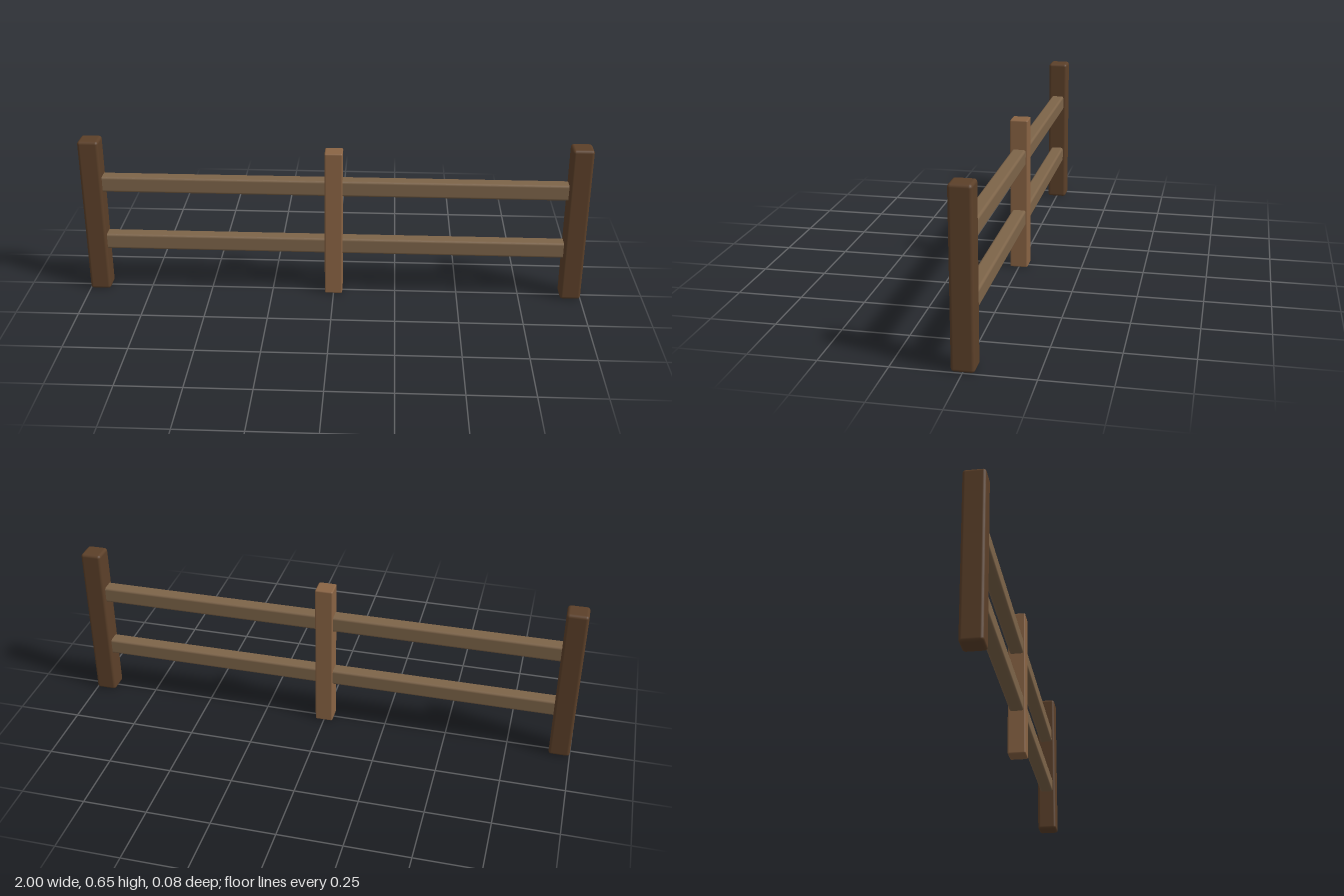
import * as THREE from 'three';
import { RoundedBoxGeometry } from 'three/addons/geometries/RoundedBoxGeometry.js';

export function createModel() {
  const fence = new THREE.Group();
  fence.name = 'railFence';

  const darkWood = new THREE.MeshStandardMaterial({ color: 0x5c4029 });
  const lightWood = new THREE.MeshStandardMaterial({ color: 0x8a6444 });
  const railWood = new THREE.MeshStandardMaterial({ color: 0x7d6449 });

  // Softly bevelled timber, centred on x, y with z = 0
  const timber = (name, size, x, y, bevel, material) => {
    const mesh = new THREE.Mesh(new RoundedBoxGeometry(...size, 2, bevel), material);
    mesh.name = name;
    mesh.position.set(x, y, 0);
    fence.add(mesh);
  };

  // End posts
  const endHeight = 0.646, endWidth = 0.083;
  for (const [name, side] of [['leftEndPost', 1], ['rightEndPost', -1]]) {
    timber(name, [endWidth, endHeight, endWidth], side * (1 - endWidth / 2), endHeight / 2, 0.012, darkWood);
  }

  // Slimmer middle post
  timber('middlePost', [0.071, 0.612, 0.071], 0, 0.306, 0.006, lightWood);

  // Horizontal rails, let into the end posts
  for (const [name, y] of [['lowerRail', 0.211], ['upperRail', 0.461]]) {
    timber(name, [1.9, 0.065, 0.056], 0, y, 0.01, railWood);
  }

  return fence;
}
